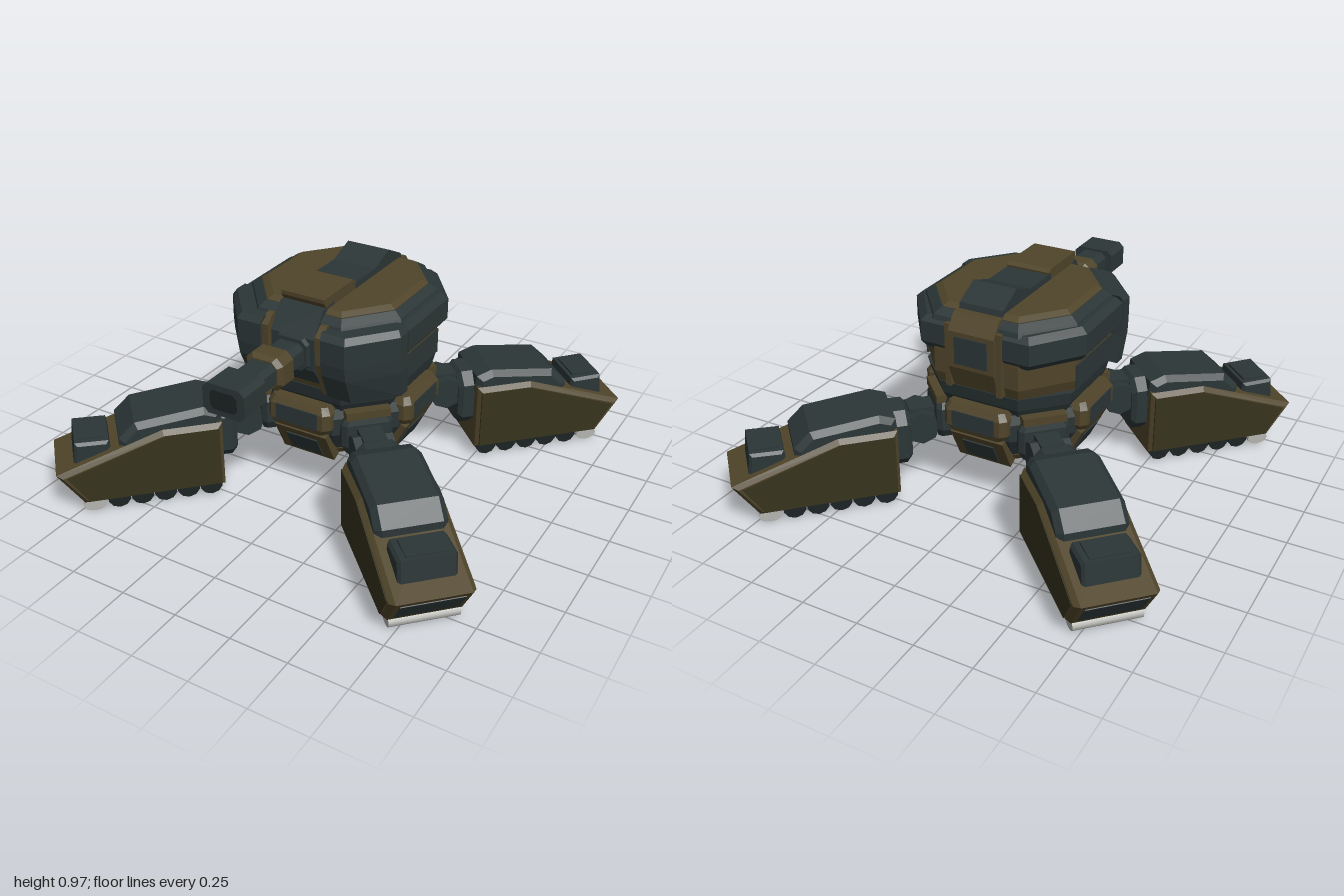
import * as THREE from 'three';

const mat = (name, color) => {
  const m = new THREE.MeshStandardMaterial({ color });
  m.name = name;
  return m;
};

// Stacks scaled copies of a convex [x, z] outline; layers are [y, scaleX, scaleZ]
function loft(outline, layers) {
  let area = 0;
  outline.forEach(([x, z], i) => {
    const [u, v] = outline[(i + 1) % outline.length];
    area += x * v - u * z;
  });
  const pts = area > 0 ? outline : [...outline].reverse();
  const n = pts.length, pos = [];
  const rings = layers.map(([y, sx, sz = sx]) => pts.map(([x, z]) => [x * sx, y, z * sz]));
  const tri = (a, b, c) => pos.push(...a, ...b, ...c);
  for (let k = 0; k < rings.length - 1; k++) {
    for (let i = 0; i < n; i++) {
      const j = (i + 1) % n, a = rings[k], b = rings[k + 1];
      tri(a[i], b[i], b[j]);
      tri(a[i], b[j], a[j]);
    }
  }
  const low = rings[0], top = rings[rings.length - 1];
  for (let i = 1; i < n - 1; i++) {
    tri(low[0], low[i], low[i + 1]);
    tri(top[0], top[i + 1], top[i]);
  }
  const g = new THREE.BufferGeometry();
  g.setAttribute('position', new THREE.Float32BufferAttribute(pos, 3));
  g.computeVertexNormals();
  return g;
}

// Rectangle outline with cut corners
const octagon = (a, b, cx, cz = cx) => [
  [a, -b + cz], [a, b - cz], [a - cx, b], [-a + cx, b],
  [-a, b - cz], [-a, -b + cz], [-a + cx, -b], [a - cx, -b],
];

// Side profile extruded symmetrically across z
function slab(points, half, bevel = 0) {
  const depth = 2 * (half - bevel);
  const g = new THREE.ExtrudeGeometry(new THREE.Shape(points.map(p => new THREE.Vector2(...p))), {
    depth, bevelEnabled: bevel > 0, bevelSize: bevel, bevelThickness: bevel, bevelOffset: -bevel, bevelSegments: 1,
  });
  return g.translate(0, 0, -depth / 2);
}

export function createModel() {
  const slate = mat('slate armour', 0x2c3637);
  const bronze = mat('bronze trim', 0x50452a);
  const olive = mat('olive side plate', 0x36331d);
  const dark = mat('dark rubber', 0x1c2324);
  const steel = mat('pale steel', 0xb4b4b0);

  const model = new THREE.Group();
  model.name = 'walkerTank';
  const add = (parent, name, geo, material, x = 0, y = 0, z = 0) => {
    const m = new THREE.Mesh(geo, material);
    m.name = name;
    m.position.set(x, y, z);
    parent.add(m);
    return m;
  };
  const group = (name, parent = model) => {
    const g = new THREE.Group();
    g.name = name;
    parent.add(g);
    return g;
  };
  const box = (w, h, d) => new THREE.BoxGeometry(w, h, d);

  // Lower hull
  const hull = group('hull');
  const hullOutline = octagon(0.36, 0.36, 0.21);
  add(hull, 'hullCore', loft(hullOutline, [[0.21, 0.74], [0.34, 0.96], [0.42, 0.98], [0.46, 0.94]]), slate);
  add(hull, 'hullBelly', loft(hullOutline, [[0.2, 0.66], [0.215, 0.7]]), dark);
  add(hull, 'hullBellyRim', loft(hullOutline, [[0.205, 0.74], [0.24, 0.81]]), bronze);
  add(hull, 'turretRing', loft(octagon(0.36, 0.36, 0.17), [[0.44, 0.86], [0.49, 0.93], [0.55, 0.97]]), slate);

  // Armour blocks on the four flat sides of the hull
  for (let i = 0; i < 4; i++) {
    const side = group('hullSide', hull);
    side.rotation.y = i * Math.PI / 2;
    const upper = add(side, 'upperBlock', loft(octagon(0.15, 0.06, 0.025),
      [[-0.065, 0.85, 0.8], [-0.035, 1], [0.035, 1], [0.065, 0.88, 0.7]]), bronze, 0, 0.415, 0.335);
    upper.scale.z = 1;
    add(side, 'upperPanel', box(0.2, 0.075, 0.008), slate, 0, 0.415, 0.394);
    const lower = add(side, 'lowerPlate', box(0.25, 0.16, 0.05), bronze, 0, 0.272, 0.312);
    lower.rotation.x = 0.46;
    add(lower, 'lowerPanel', box(0.15, 0.1, 0.008), slate, 0, -0.005, 0.027);
  }

  // Four identical legs on the diagonals; local x points outward
  const body = [[0.57, 0.05], [0.57, 0.355], [0.82, 0.355], [1.268, 0.2], [1.165, 0.05]];
  const sidePlate = [[0.585, 0.065], [0.585, 0.335], [0.81, 0.335], [1.225, 0.19], [1.145, 0.065]];
  const upperArmour = [[0.565, 0.33], [0.572, 0.4], [0.64, 0.425], [0.93, 0.392], [1.0, 0.325], [1.0, 0.26]];
  const hatch = [[1.03, 0.24], [1.04, 0.315], [1.18, 0.32], [1.195, 0.2]];
  for (let i = 0; i < 4; i++) {
    const leg = group('leg');
    leg.rotation.y = Math.PI / 4 + i * Math.PI / 2;
    add(leg, 'legBody', slab(body, 0.165, 0.02), bronze);
    for (const s of [-1, 1]) add(leg, 'legSidePlate', slab(sidePlate, 0.004), olive, 0, 0, s * 0.164);
    add(leg, 'legUpperArmour', slab(upperArmour, 0.145, 0.025), slate);
    add(leg, 'shinHatch', slab(hatch, 0.115, 0.012), slate);
    add(leg, 'shinHatchLid', box(0.11, 0.008, 0.16), slate, 1.11, 0.32, 0);
    add(leg, 'toePanel', box(0.008, 0.12, 0.25), slate, 1.2175, 0.127, 0).rotation.z = -0.6;
    add(leg, 'legUnderside', box(0.55, 0.012, 0.26), dark, 0.87, 0.047, 0);

    // Treads and toe
    for (let k = 0; k < 5; k++) {
      const tread = new THREE.CylinderGeometry(0.049, 0.049, 0.28, 10).rotateX(Math.PI / 2);
      add(leg, 'tread', tread, dark, 0.63 + k * 0.098, 0.048, 0);
    }
    const toe = new THREE.CylinderGeometry(0.03, 0.03, 0.28, 14).rotateX(Math.PI / 2).scale(1.6, 1, 1);
    add(leg, 'toe', toe, steel, 1.125, 0.03, 0);

    // Hip joint
    const collar = loft(octagon(0.13, 0.11, 0.05), [[0.5, 0.85], [0.52, 1], [0.58, 1]]).rotateZ(-Math.PI / 2);
    add(leg, 'hipCollar', collar, slate, 0, 0.27, 0);
    const knuckle = new THREE.CylinderGeometry(0.075, 0.075, 0.17, 8).rotateX(Math.PI / 2).toNonIndexed();
    knuckle.computeVertexNormals();
    add(leg, 'hipKnuckle', knuckle, slate, 0.45, 0.31, 0);
    add(leg, 'hipArm', box(0.2, 0.1, 0.1), slate, 0.4, 0.34, 0);
    add(leg, 'hipSocket', loft(octagon(0.045, 0.11, 0.02), [[0.26, 0.8], [0.3, 1], [0.4, 1], [0.44, 0.8]]), slate, 0.345, 0, 0);
    add(leg, 'hipTrim', box(0.06, 0.035, 0.19), bronze, 0.36, 0.445, 0);
  }

  // Turret shell and layered roof
  const turret = group('turret');
  const shell = octagon(0.365, 0.37, 0.165, 0.2);
  add(turret, 'turretShell', loft(shell, [[0.54, 0.92], [0.6, 0.98], [0.7, 0.98], [0.85, 0.96]]), bronze);
  add(turret, 'roofRim', loft(shell, [[0.835, 0.99], [0.855, 0.97], [0.878, 0.88]]), slate);
  add(turret, 'roof', loft(shell, [[0.86, 0.87], [0.88, 0.87], [0.895, 0.8]]), bronze);

  for (const s of [-1, 1]) {
    const mirror = pts => pts.map(([x, z]) => [s * x, z]);
    // Upper armour band around the sides and back
    add(turret, 'upperBand', loft(
      mirror([[0.13, 0.18], [0.4, 0.18], [0.402, -0.17], [0.25, -0.375], [0.13, -0.375]]),
      [[0.7, 0.94], [0.73, 1], [0.82, 1], [0.845, 0.93]]), slate);
    add(turret, 'sidePanel', box(0.008, 0.11, 0.34), slate, s * 0.358, 0.615, 0);
    // Front cheeks with inner trim
    add(turret, 'frontCheek', loft(
      mirror([[0.14, 0.19], [0.14, 0.43], [0.25, 0.43], [0.4, 0.25], [0.4, 0.19]]),
      [[0.54, 0.98, 0.86], [0.66, 1, 0.98], [0.72, 1, 1], [0.82, 1, 1], [0.845, 0.96, 0.95]]), slate);
    add(turret, 'cheekTrim', loft(mirror([[0.11, 0.2], [0.14, 0.2], [0.14, 0.42], [0.11, 0.42]]),
      [[0.545, 1, 0.88], [0.7, 1], [0.82, 1], [0.855, 1, 0.9]]), bronze);
    // Rear trim beside the spine
    add(turret, 'rearTrim', box(0.025, 0.28, 0.06), bronze, s * 0.118, 0.7, -0.355);
  }

  // Central spine from front to back
  const spine = (name, pts, half, m) => add(turret, name, slab(pts, half).rotateY(-Math.PI / 2), m);
  spine('rearSpine', [[-0.3, 0.56], [-0.36, 0.56], [-0.4, 0.66], [-0.4, 0.82], [-0.35, 0.885], [-0.3, 0.885]], 0.105, bronze);
  add(turret, 'rearPanel', box(0.15, 0.12, 0.008), slate, 0, 0.74, -0.401);
  spine('roofHump', [[-0.32, 0.87], [-0.31, 0.91], [-0.2, 0.965], [-0.08, 0.922], [0.1, 0.922], [0.1, 0.87]], 0.1, slate);
  spine('roofPlate', [[0.09, 0.88], [0.08, 0.93], [0.1, 0.942], [0.33, 0.942], [0.33, 0.925], [0.3, 0.88]], 0.1, bronze);
  spine('mantlet', [[0.25, 0.58], [0.36, 0.58], [0.41, 0.66], [0.41, 0.8], [0.34, 0.9], [0.25, 0.91]], 0.1, slate);

  // Gun; lofted upright, then turned to point forward
  const gun = group('gun', turret);
  gun.position.y = 0.73;
  gun.rotation.x = Math.PI / 2;
  add(gun, 'gunMount', loft(octagon(0.085, 0.075, 0.025), [[0.39, 1], [0.43, 0.9]]), slate);
  add(gun, 'barrel', loft(octagon(0.065, 0.052, 0.022), [[0.4, 1], [0.76, 1]]), slate);
  add(gun, 'barrelCollar', loft(octagon(0.085, 0.072, 0.03), [[0.515, 0.8], [0.535, 1], [0.605, 1], [0.625, 0.8]]), bronze);
  add(gun, 'muzzle', loft(octagon(0.094, 0.064, 0.022), [[0.74, 1], [0.88, 1]]), slate);
  add(gun, 'bore', loft(octagon(0.06, 0.04, 0.015), [[0.878, 1], [0.882, 1]]), dark);

  return model;
}
